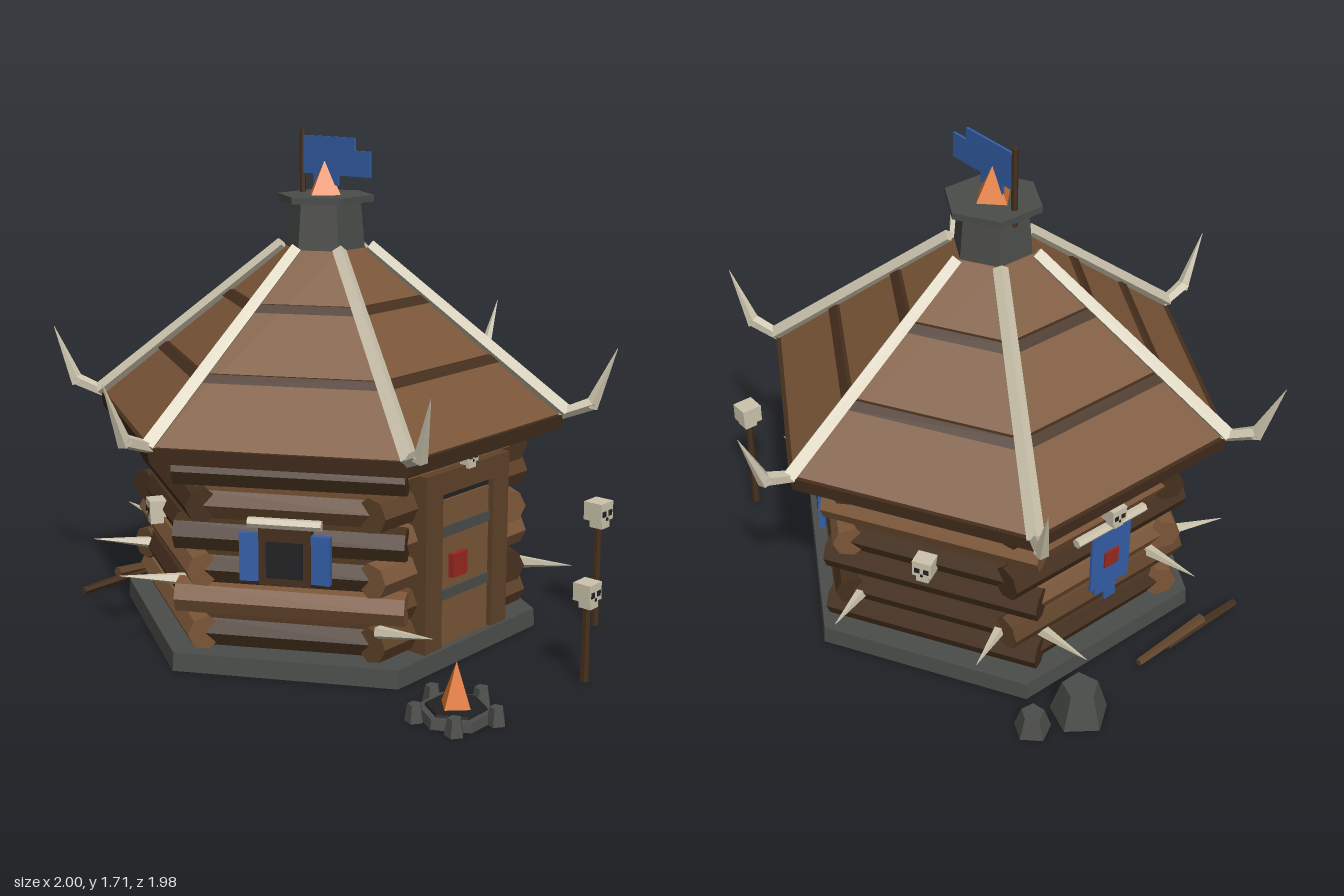
import * as THREE from 'three';

const mat = (name, color) => Object.assign(new THREE.MeshStandardMaterial({ color }), { name });
const M = {
  brown: mat('brown wood', 0x7b5638),
  mid: mat('mid brown wood', 0x5f4229),
  dark: mat('dark wood', 0x452f1d),
  stone: mat('stone', 0x4b4d4a),
  black: mat('charcoal', 0x222224),
  bone: mat('bone', 0xcdc5ae),
  flame: mat('flame orange', 0xe0752a),
  blue: mat('blue cloth', 0x345fa8),
  red: mat('red paint', 0x98281f),
};
const V = (x, y, z) => new THREE.Vector3(x, y, z);

// Adds a faceted mesh to a parent
function add(parent, name, geo, material, x = 0, y = 0, z = 0) {
  const g = geo.index ? geo.toNonIndexed() : geo;
  g.computeVertexNormals();
  const m = new THREE.Mesh(g, material);
  m.name = name;
  m.position.set(x, y, z);
  parent.add(m);
  return m;
}
const box = (parent, name, material, w, h, d, x, y, z) =>
  add(parent, name, new THREE.BoxGeometry(w, h, d), material, x, y, z);

// Tapered rod between two points
function rod(parent, name, material, p, q, r0, r1, sides = 6) {
  const dir = q.clone().sub(p);
  const m = add(parent, name, new THREE.CylinderGeometry(r1, r0, dir.length(), sides), material);
  m.position.copy(p).add(q).multiplyScalar(0.5);
  m.quaternion.setFromUnitVectors(V(0, 1, 0), dir.normalize());
  return m;
}

// Six-sided frustum with corners on the x axis
const hex = (parent, name, material, rBottom, rTop, y0, y1) =>
  add(parent, name, new THREE.CylinderGeometry(rTop, rBottom, y1 - y0, 6, 1, false, Math.PI / 6),
    material, 0, (y0 + y1) / 2, 0);

// Blocky skull facing +z, centred on its cranium
function skull(parent, name, x, y, z, s = 1) {
  const g = new THREE.Group();
  g.name = name;
  g.position.set(x, y, z);
  g.scale.setScalar(s);
  box(g, 'cranium', M.bone, 0.075, 0.065, 0.07, 0, 0, 0);
  box(g, 'jaw', M.bone, 0.048, 0.03, 0.05, 0, -0.045, 0.006);
  for (const e of [-1, 1]) box(g, 'eyeSocket', M.black, 0.02, 0.02, 0.006, e * 0.018, -0.006, 0.035);
  box(g, 'noseHole', M.black, 0.009, 0.011, 0.006, 0, -0.026, 0.035);
  parent.add(g);
}

const WALL_R = 0.62, APO = WALL_R * Math.cos(Math.PI / 6);

// Shuttered window on a wall whose outward side is +z
function addWindow(wall) {
  const z = APO + 0.06;
  box(wall, 'windowFrame', M.dark, 0.17, 0.19, 0.05, 0, 0.405, z);
  box(wall, 'windowPane', M.black, 0.12, 0.12, 0.008, 0, 0.395, z + 0.026);
  for (const s of [-1, 1])
    box(wall, 'shutter', M.blue, 0.065, 0.16, 0.022, s * 0.117, 0.4, z + 0.015).rotation.y = s * -0.15;
  rod(wall, 'windowBone', M.bone, V(-0.12, 0.515, z + 0.02), V(0.12, 0.515, z + 0.02), 0.018, 0.018);
}

// Bone spikes sticking out of a wall
function addSpikes(wall, off, yLeft, yRight) {
  for (const [x, y] of [[-off, yLeft], [off, yRight]])
    rod(wall, 'boneSpike', M.bone, V(x, y - 0.035, APO + 0.03), V(x, y, APO + 0.25), 0.023, 0.001, 5);
}

function addDoor(wall) {
  for (const s of [-1, 1]) box(wall, 'doorPost', M.mid, 0.085, 0.6, 0.13, s * 0.177, 0.36, 0.565);
  box(wall, 'doorLintel', M.mid, 0.44, 0.075, 0.13, 0, 0.622, 0.565);
  box(wall, 'doorGap', M.black, 0.27, 0.53, 0.1, 0, 0.325, 0.56);
  box(wall, 'doorPanel', M.brown, 0.25, 0.5, 0.1, 0, 0.31, 0.568);
  for (const y of [0.24, 0.455]) box(wall, 'doorBand', M.stone, 0.25, 0.035, 0.1, 0, y, 0.575);
  box(wall, 'doorMark', M.red, 0.075, 0.08, 0.02, -0.052, 0.335, 0.63);
  skull(wall, 'doorSkull', 0, 0.695, 0.62, 0.75);
}

function addBanner(wall) {
  const z = 0.617, s = new THREE.Shape();
  [[-0.085, 0.53], [-0.085, 0.3], [-0.065, 0.3], [-0.065, 0.27], [-0.02, 0.27], [-0.02, 0.23], [0.03, 0.23],
    [0.03, 0.29], [0.085, 0.29], [0.085, 0.53]].forEach(([x, y], i) => (i ? s.lineTo(x, y) : s.moveTo(x, y)));
  add(wall, 'bannerCloth', new THREE.ExtrudeGeometry(s, { depth: 0.009, bevelEnabled: false }), M.blue, 0, 0, z);
  box(wall, 'bannerMark', M.red, 0.06, 0.065, 0.008, 0, 0.41, z + 0.011);
  rod(wall, 'bannerBone', M.bone, V(-0.15, 0.54, z), V(0.15, 0.54, z), 0.017, 0.017);
  skull(wall, 'bannerSkull', 0, 0.605, z + 0.012, 0.8);
}

function addWalls(hut) {
  const tones = { b: M.brown, m: M.mid, d: M.dark };
  // Log tones per wall, top row first: front, then round by the +x side
  const rows = ['bmbbmm', 'dmbddm', 'dbdddd', 'dbdbmd', 'dddbdb', 'dmddbd'];
  hex(hut, 'wallCore', M.dark, 0.6, 0.6, 0.06, 0.73);
  const walls = rows.map((tone, i) => {
    const wall = new THREE.Group();
    wall.name = 'wall';
    wall.rotation.y = i * Math.PI / 3;
    hut.add(wall);
    [...tone].forEach((t, k) => {
      // alternate rows overlap at the corners
      const half = WALL_R / 2 + ((i + k) % 2 ? 0.07 : 0.0);
      const y = 0.66 - k * 0.108;
      rod(wall, 'log', tones[t], V(-half, y, APO), V(half, y, APO), 0.06, 0.057, 7);
    });
    return wall;
  });
  addDoor(walls[0]);
  addWindow(walls[1]);
  addWindow(walls[5]);
  addBanner(walls[3]);
  addSpikes(walls[0], 0.38, 0.21, 0.25);
  addSpikes(walls[2], 0.25, 0.25, 0.25);
  addSpikes(walls[3], 0.24, 0.21, 0.3);
  addSpikes(walls[4], 0.25, 0.27, 0.3);
  for (const i of [2, 4]) skull(walls[i], 'wallSkull', 0, 0.445, APO + 0.07, 0.9);
}

function addRoof(hut) {
  const rAt = y => 0.815 + (0.14 - 0.815) * (y - 0.765) / (1.315 - 0.765);
  hex(hut, 'eaves', M.dark, 0.82, 0.83, 0.715, 0.767);
  hex(hut, 'roof', M.brown, rAt(0.765), rAt(1.315), 0.765, 1.315);
  for (const y of [0.94, 1.135])
    hex(hut, 'roofBand', M.dark, rAt(y) + 0.014, rAt(y + 0.024) + 0.014, y, y + 0.024);
  // Ridge bones with upturned horns
  for (let i = 0; i < 6; i++) {
    const corner = new THREE.Group();
    corner.name = 'ridge';
    corner.rotation.y = i * Math.PI / 3;
    rod(corner, 'ridgeBone', M.bone, V(0.83, 0.772, 0), V(0.15, 1.32, 0), 0.029, 0.025, 4);
    rod(corner, 'hornBase', M.bone, V(0.81, 0.765, 0), V(0.925, 0.81, 0), 0.02, 0.024, 5);
    rod(corner, 'hornTip', M.bone, V(0.915, 0.795, 0), V(0.998, 1.0, 0), 0.025, 0.001, 5);
    hut.add(corner);
  }
  // Chimney
  hex(hut, 'chimney', M.stone, 0.138, 0.122, 1.3, 1.475);
  hex(hut, 'chimneyCap', M.stone, 0.167, 0.167, 1.472, 1.494);
  add(hut, 'chimneyFlame', new THREE.ConeGeometry(0.075, 0.13, 4), M.flame, 0, 1.55, 0);
  // Flag
  rod(hut, 'flagPole', M.dark, V(0, 1.435, -0.105), V(0, 1.708, -0.105), 0.011, 0.011);
  box(hut, 'flag', M.blue, 0.009, 0.128, 0.23, 0, 1.624, 0.018);
  box(hut, 'flagTail', M.blue, 0.009, 0.086, 0.07, 0, 1.603, 0.166);
  box(hut, 'flagTatter', M.blue, 0.009, 0.04, 0.11, 0, 1.545, 0.005);
}

function addSurroundings(root) {
  // Skull posts
  for (const [x, z, h, s] of [[0.517, 0.7, 0.42, 1], [0.08, 0.945, 0.305, 0.9]]) {
    rod(root, 'post', M.dark, V(x, 0, z), V(x, h - 0.03, z), 0.016, 0.013);
    skull(root, 'postSkull', x, h, z, s);
  }
  // Campfire
  const fire = new THREE.Group();
  fire.name = 'campfire';
  fire.position.set(-0.41, 0, 0.805);
  hex(fire, 'fireRing', M.stone, 0.125, 0.12, 0, 0.03);
  hex(fire, 'ashes', M.black, 0.1, 0.095, 0.02, 0.038);
  for (let i = 0; i < 5; i++) {
    const a = i * Math.PI * 0.4;
    const rock = add(fire, 'fireRock', new THREE.CylinderGeometry(0.022, 0.032, 0.055, 5), M.stone,
      Math.cos(a) * 0.13, 0.0275, Math.sin(a) * 0.13);
    rock.rotation.y = a;
  }
  add(fire, 'fireFlame', new THREE.ConeGeometry(0.058, 0.145, 4), M.flame, 0, 0.107, 0);
  root.add(fire);
  // Boulders
  for (const [x, z, r, h, a] of [[0.275, -0.9, 0.1, 0.125, Math.PI], [0.44, -0.855, 0.064, 0.075, 0.5]])
    add(root, 'boulder', new THREE.CylinderGeometry(r * 0.62, r, h, 5), M.stone, x, h / 2, z).rotation.y = a;
  // Firewood
  rod(root, 'firewood', M.dark, V(-0.49, 0.018, -0.865), V(-0.15, 0.018, -0.87), 0.014, 0.018);
  rod(root, 'firewood', M.mid, V(-0.32, 0.045, -0.87), V(-0.02, 0.02, -0.87), 0.02, 0.014);
}

export function createModel() {
  const root = new THREE.Group();
  root.name = 'logHut';
  const hut = new THREE.Group();
  hut.name = 'hut';
  hut.position.z = -0.1;
  root.add(hut);
  hex(hut, 'foundation', M.stone, 0.745, 0.74, 0, 0.062);
  addWalls(hut);
  addRoof(hut);
  addSurroundings(root);
  return root;
}
